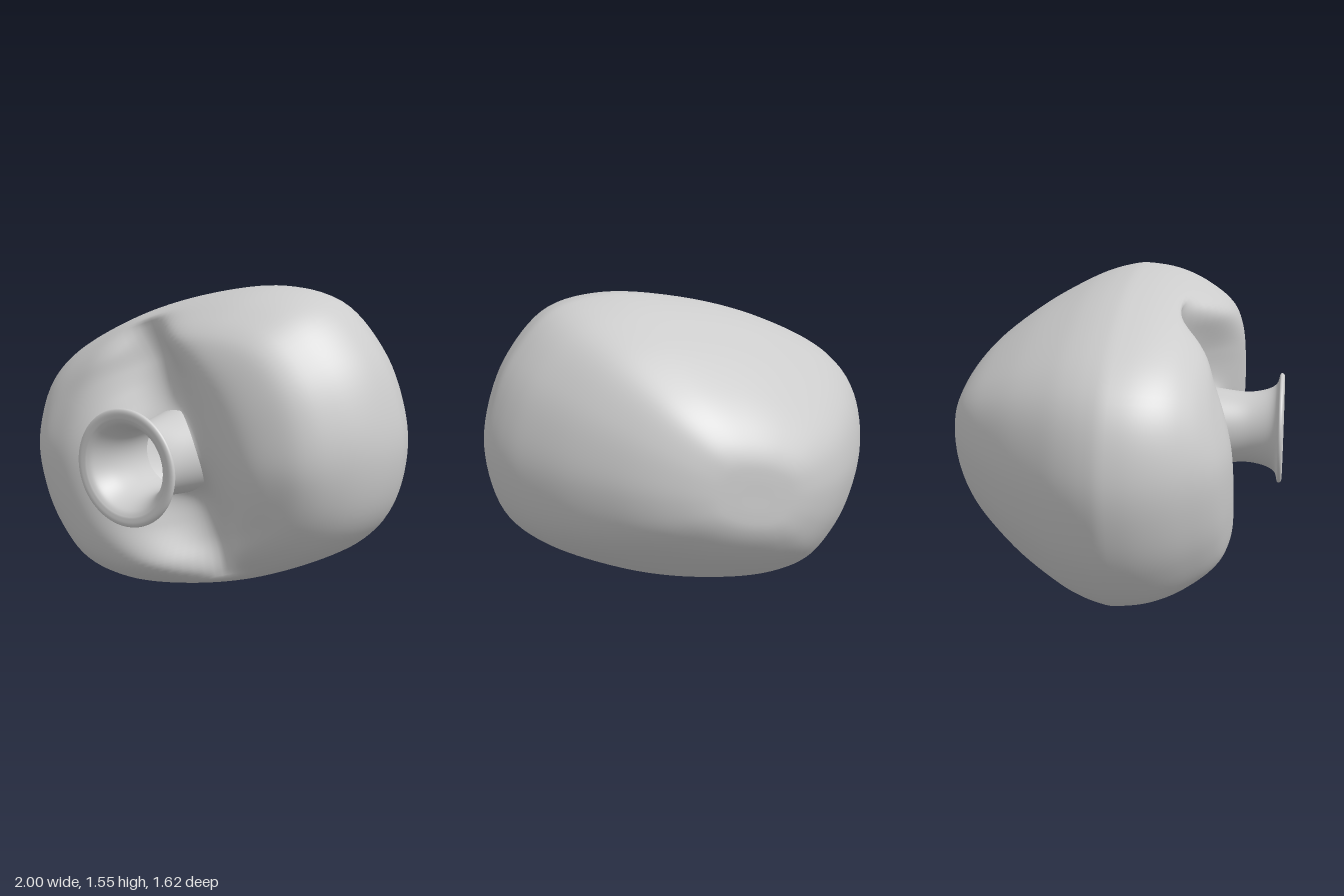
import * as THREE from 'three';

const CY = 0.775; // height of the neck axis
const TILT = 0.35; // lean of the two lobes
const SEG = 128;
const WIDEST = 0.07; // z of the widest section
const v2 = (a) => a.map(([x, y]) => new THREE.Vector2(x, y));

// Body outline across the widest section; its second half is the first turned by 180 degrees
const half = [[1, 0.055], [0.955, 0.305], [0.855, 0.515], [0.66, 0.715], [0.4, 0.775],
  [0, 0.73], [-0.4, 0.61], [-0.8, 0.395], [-0.94, 0.225]];
const outline = new THREE.CatmullRomCurve3(
  [...half, ...half.map(([x, y]) => [-x, -y])].map(([x, y]) => new THREE.Vector3(x, y, 0)),
  true, 'centripetal').getSpacedPoints(SEG).slice(0, SEG);

// Outline scale against z, from the back pole over the widest section to the neck
const profile = new THREE.SplineCurve(v2([[0.01, -0.81], [0.13, -0.81], [0.23, -0.802],
  [0.34, -0.765], [0.47, -0.69], [0.6, -0.58], [0.765, -0.4], [0.905, -0.2], [0.965, -0.08],
  [0.995, 0.02], [1, WIDEST], [0.982, 0.19], [0.94, 0.3], [0.875, 0.4], [0.78, 0.5],
  [0.67, 0.56], [0.48, 0.598], [0.25, 0.6], [0, 0.6]])).getSpacedPoints(96);

// Front height: two lobes split by a slanting groove that widens towards the neck
function frontZ(x, y, s, base, hole) {
  const u = x * Math.cos(TILT) + y * Math.sin(TILT);
  const width = 0.14 + 0.1 * THREE.MathUtils.smoothstep(1 - s, 0.1, 0.6);
  const drop = base - (0.42 - 0.1 * s); // height of the lobes over the groove floor
  const depth = Math.max(0, 1 - s) * 0.1 + 0.5 * (drop + Math.sqrt(drop * drop + 0.0008)) - 0.01;
  const groove = depth * Math.exp(-((u / width) ** 2)) * THREE.MathUtils.smoothstep(1 - s, 0, 0.12);
  const m = -x * y;
  const slope = 0.22 * (m + Math.sqrt(m * m + 0.003)) * THREE.MathUtils.smoothstep(1 - s, 0, 0.42);
  const fillet = 0.085 * Math.exp(-(Math.hypot(x, y) - hole) / 0.05);
  return base - groove - slope + fillet;
}

// Shell from stacked rings; wall moves it inwards, inward turns its faces round
function shell(hole, wall, inward) {
  const pos = [0, 0, -0.81 + wall];
  const index = [];
  for (const { x: s, y: z } of profile) {
    const front = z > WIDEST;
    for (const o of outline) {
      const k = hole / o.length();
      const scale = (front ? s + k * (1 - s) ** 2 : s) * (1 - wall * 1.2 * s);
      const x = o.x * scale, y = o.y * scale;
      const zz = front ? frontZ(x, y, s, z, hole) : z;
      pos.push(x, y, zz - wall * zz / 0.7);
    }
  }
  const tri = (a, b, c) => (inward ? index.push(a, c, b) : index.push(a, b, c));
  for (let j = 0; j < SEG; j++) {
    const n = (j + 1) % SEG;
    tri(0, 1 + n, 1 + j);
    for (let i = 0; i < profile.length - 1; i++) {
      const a = 1 + i * SEG, b = a + SEG;
      tri(a + j, a + n, b + n);
      tri(a + j, b + n, b + j);
    }
  }
  const g = new THREE.BufferGeometry();
  g.setAttribute('position', new THREE.Float32BufferAttribute(pos, 3));
  g.setIndex(index);
  g.computeVertexNormals();
  return g;
}

// Flared neck with a thin rolled rim and a narrowing throat
function neckGeometry() {
  const outer = new THREE.SplineCurve(v2([[0.2, 0.4], [0.188, 0.49], [0.175, 0.6],
    [0.178, 0.67], [0.195, 0.735], [0.22, 0.77], [0.255, 0.781]])).getPoints(30);
  const lip = new THREE.SplineCurve(v2([[0.255, 0.781], [0.267, 0.785], [0.27, 0.793],
    [0.265, 0.802], [0.25, 0.806], [0.225, 0.803]])).getPoints(18).slice(1);
  const throat = new THREE.SplineCurve(v2([[0.225, 0.803], [0.2, 0.785], [0.175, 0.74],
    [0.155, 0.68], [0.145, 0.6], [0.146, 0.52], [0.15, 0.44]])).getPoints(30).slice(1);
  return new THREE.LatheGeometry([...outer, ...lip, ...throat], 72).rotateX(Math.PI / 2);
}

export function createModel() {
  const group = new THREE.Group();
  group.name = 'lobedVase';
  const material = new THREE.MeshStandardMaterial({ color: 0xcccccc });
  const add = (name, geometry) => {
    const mesh = new THREE.Mesh(geometry, material);
    mesh.name = name;
    mesh.position.y = CY;
    group.add(mesh);
  };
  add('body', shell(0.17, 0, false));
  add('innerWall', shell(0.147, 0.03, true));
  add('neck', neckGeometry());
  return group;
}
